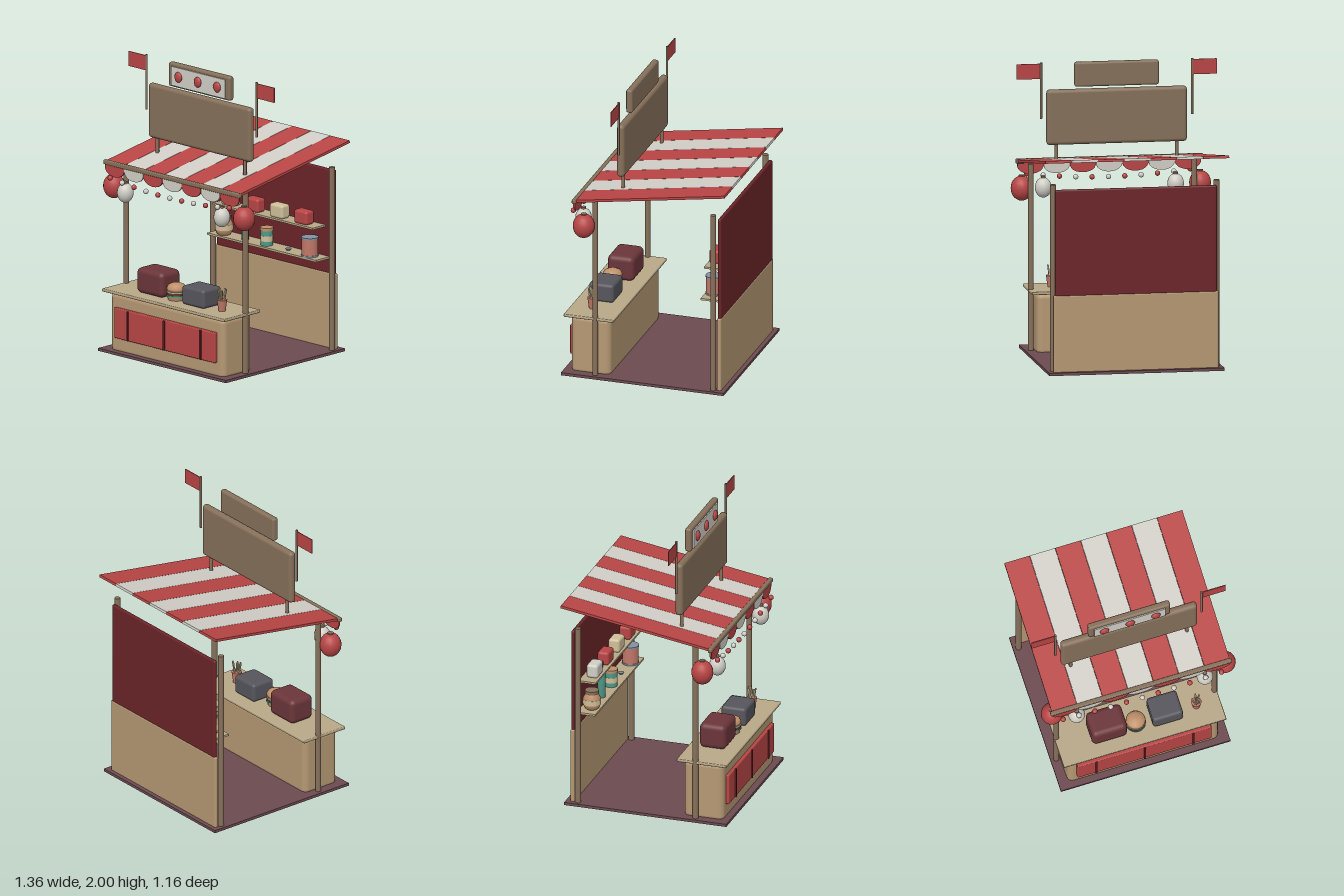
import * as THREE from 'three';
import { RoundedBoxGeometry } from 'three/addons/geometries/RoundedBoxGeometry.js';

const C = {
  red: 0xb84545, white: 0xd0cec6, wine: 0x6b2428, tan: 0xb59873, wood: 0x86705a,
  top: 0xb8a888, floor: 0x6b4a50, teal: 0x4f9a88, cream: 0xcfc09a, maroon: 0x6b353a,
  grey: 0x55555c, steel: 0x8590a0, salmon: 0xc07868, bun: 0xc0906a, patty: 0x5a3a2c
};
const mats = {};
const mat = c => mats[c] ??= new THREE.MeshStandardMaterial({ color: C[c], side: THREE.DoubleSide });

export function createModel() {
  const root = new THREE.Group();

  const add = (name, geo, color, x = 0, y = 0, z = 0, parent = root) => {
    const m = new THREE.Mesh(geo, mat(color));
    m.name = name;
    m.position.set(x, y, z);
    parent.add(m);
    return m;
  };
  // box given by its limits on each axis, optionally with rounded edges
  const box = (name, color, [x0, x1], [y0, y1], [z0, z1], r = 0) => {
    const s = [x1 - x0, y1 - y0, z1 - z0];
    const geo = r ? new RoundedBoxGeometry(...s, 3, r) : new THREE.BoxGeometry(...s);
    return add(name, geo, color, (x0 + x1) / 2, (y0 + y1) / 2, (z0 + z1) / 2);
  };
  // upright rod or drum between two heights
  const rod = (name, color, x, z, y0, y1, r, rTop = r, n = 16) =>
    add(name, new THREE.CylinderGeometry(rTop, r, y1 - y0, n), color, x, (y0 + y1) / 2, z);
  const ball = (name, color, x, y, z, r, sy = 1, sz = 1) => {
    const m = add(name, new THREE.SphereGeometry(r, 18, 12), color, x, y, z);
    m.scale.set(1, sy, sz);
    return m;
  };
  const turned = (name, color, x, y, z, pts) =>
    add(name, new THREE.LatheGeometry(pts.map(p => new THREE.Vector2(...p)), 20), color, x, y, z);

  // floor, posts and back wall
  box('floor', 'floor', [-0.595, 0.595], [0.006, 0.025], [-0.565, 0.58]);
  for (const s of [-1, 1]) {
    rod('frontPost', 'wood', s * 0.555, 0.35, 0, 1.29, 0.019);
    rod('backPost', 'wood', s * 0.555, -0.48, 0, 1.29, 0.02);
  }
  box('lowerBackWall', 'tan', [-0.56, 0.56], [0.015, 0.545], [-0.535, -0.505], 0.012);
  box('upperBackWall', 'wine', [-0.55, 0.55], [0.535, 1.26], [-0.533, -0.507], 0.012);

  // counter with panelled front
  box('counter', 'tan', [-0.53, 0.53], [0, 0.425], [0.255, 0.535], 0.04);
  box('counterTop', 'top', [-0.57, 0.57], [0.42, 0.441], [0.22, 0.57], 0.006);
  box('frontPanel', 'red', [-0.47, 0.47], [0.115, 0.325], [0.52, 0.558], 0.008);
  for (const x of [-0.34, 0, 0.34])
    box('panelDivider', 'wine', [x - 0.006, x + 0.006], [0.118, 0.322], [0.54, 0.566]);

  // sloping striped awning with scalloped valance
  const awning = new THREE.Group();
  awning.name = 'awning';
  awning.position.set(0, 1.374, -0.05);
  awning.rotation.x = 0.159;
  root.add(awning);
  const w = 0.1785;
  const scallop = new THREE.Shape();
  scallop.moveTo(-0.088, 0.09);
  scallop.lineTo(-0.088, 0.05);
  scallop.bezierCurveTo(-0.075, -0.016, 0.075, -0.016, 0.088, 0.05);
  scallop.lineTo(0.088, 0.09);
  const scallopGeo = new THREE.ExtrudeGeometry(scallop, { depth: 0.012, bevelEnabled: false, curveSegments: 10 });
  for (let i = -3; i <= 3; i++) {
    const color = i % 2 ? 'red' : 'white';
    add('awningStripe', new THREE.BoxGeometry(w - 0.002, 0.018, 1.073), color, i * w, 0, 0, awning);
    add('valanceScallop', scallopGeo, color, i * w, 1.2, 0.472);
  }
  box('awningBeam', 'wood', [-0.636, 0.636], [1.274, 1.305], [0.462, 0.492], 0.008);

  // bead garland
  for (let i = -5; i <= 5; i++)
    ball('garlandBead', i % 2 ? 'red' : 'white', i * 0.111, 1.16 + 0.036 * (i / 5) ** 2, 0.505, 0.018);

  // lanterns, sign legs and flags on both sides
  for (const s of [-1, 1]) {
    ball('redLantern', 'red', s * 0.606, 1.116, 0.415, 0.074, 1.14);
    rod('redLanternCap', 'wood', s * 0.606, 0.415, 1.192, 1.205, 0.02);
    ball('whiteLantern', 'white', s * 0.45, 1.107, 0.468, 0.056, 1.22);
    rod('whiteLanternCap', 'wood', s * 0.45, 0.468, 1.168, 1.185, 0.016);
    rod('signLeg', 'wood', s * 0.408, 0.203, 1.335, 1.46, 0.012);
    rod('flagPole', 'wood', s * 0.513, 0.2, 1.62, 2, 0.008, 0.008, 10);
    const flag = box('flag', 'red', [-0.083, 0.083], [1.89, 1.993], [0.197, 0.203]);
    flag.position.x = s * 0.597;
  }

  // sign boards
  box('mainSign', 'wood', [-0.477, 0.477], [1.44, 1.815], [0.176, 0.229], 0.024);
  box('topSign', 'wood', [-0.286, 0.286], [1.83, 1.997], [0.181, 0.226], 0.015);
  box('topSignPanel', 'white', [-0.25, 0.25], [1.843, 1.974], [0.22, 0.234]);
  for (const x of [-0.18, 0, 0.18]) ball('signBulb', 'red', x, 1.911, 0.238, 0.032, 1.12, 0.5);

  // shelves with boxes, jars, bottle and tin
  box('upperShelf', 'top', [-0.467, 0.467], [0.855, 0.868], [-0.507, -0.385]);
  box('lowerShelf', 'top', [-0.507, 0.507], [0.641, 0.655], [-0.507, -0.375]);
  ['white', 'red', 'cream', 'red'].forEach((c, i) => {
    const x = -0.343 + i * 0.227;
    box('shelfBox', c, [x - 0.061, x + 0.061], [0.868, 0.963], [-0.475, -0.395], 0.018);
  });
  const z = -0.433, y = 0.655;
  turned('clayJar', 'bun', -0.405, y, z,
    [[0, 0], [0.045, 0], [0.06, 0.03], [0.06, 0.075], [0.043, 0.105], [0.043, 0.112], [0, 0.112]]);
  rod('clayJarBand', 'cream', -0.405, z, y + 0.035, y + 0.07, 0.0615);
  rod('clayJarLid', 'wood', -0.405, z, y + 0.11, y + 0.132, 0.048);
  turned('bottle', 'teal', -0.207, y, z,
    [[0, 0], [0.026, 0], [0.026, 0.17], [0.02, 0.19], [0.01, 0.205], [0.01, 0.235], [0, 0.235]]);
  rod('bottleCap', 'wood', -0.207, z, y + 0.232, y + 0.255, 0.012);
  rod('tealJar', 'teal', -0.007, z, y, y + 0.105, 0.042);
  rod('tealJarLabel', 'cream', -0.007, z, y + 0.03, y + 0.068, 0.0435);
  rod('tealJarLid', 'bun', -0.007, z, y + 0.103, y + 0.123, 0.045);
  rod('smallDish', 'steel', 0.195, z, y, y + 0.013, 0.012, 0.022);
  rod('tin', 'salmon', 0.395, z, y, y + 0.13, 0.055);
  for (const h of [0.004, 0.126]) rod('tinRim', 'steel', 0.395, z, y + h - 0.006, y + h + 0.006, 0.058);

  // counter goods
  box('largeAppliance', 'maroon', [-0.34, -0.092], [0.44, 0.614], [0.298, 0.485], 0.035);
  box('smallAppliance', 'grey', [0.086, 0.296], [0.44, 0.57], [0.31, 0.485], 0.022);
  const bx = -0.02, bz = 0.42;
  rod('bottomBun', 'bun', bx, bz, 0.44, 0.467, 0.056, 0.064, 20);
  rod('lettuce', 'teal', bx, bz, 0.467, 0.477, 0.068, 0.068, 20);
  rod('patty', 'patty', bx, bz, 0.477, 0.495, 0.064, 0.064, 20);
  rod('cheese', 'cream', bx, bz, 0.495, 0.503, 0.068, 0.068, 20);
  turned('topBun', 'bun', bx, 0.503, bz, [[0, 0], [0.064, 0], [0.066, 0.018], [0.055, 0.038], [0.03, 0.05], [0, 0.053]]);
  rod('friesCup', 'salmon', 0.405, 0.42, 0.44, 0.518, 0.024, 0.035);
  for (let i = 0; i < 7; i++) {
    const a = i * 2.4, r = i ? 0.021 : 0;
    const fry = add('fry', new THREE.BoxGeometry(0.009, 0.085, 0.009), 'cream',
      0.405 + r * Math.cos(a), 0.538 + 0.006 * (i % 3), 0.42 + r * Math.sin(a));
    fry.rotation.set(r * 8 * Math.sin(a), 0, -r * 8 * Math.cos(a));
  }
  return root;
}
